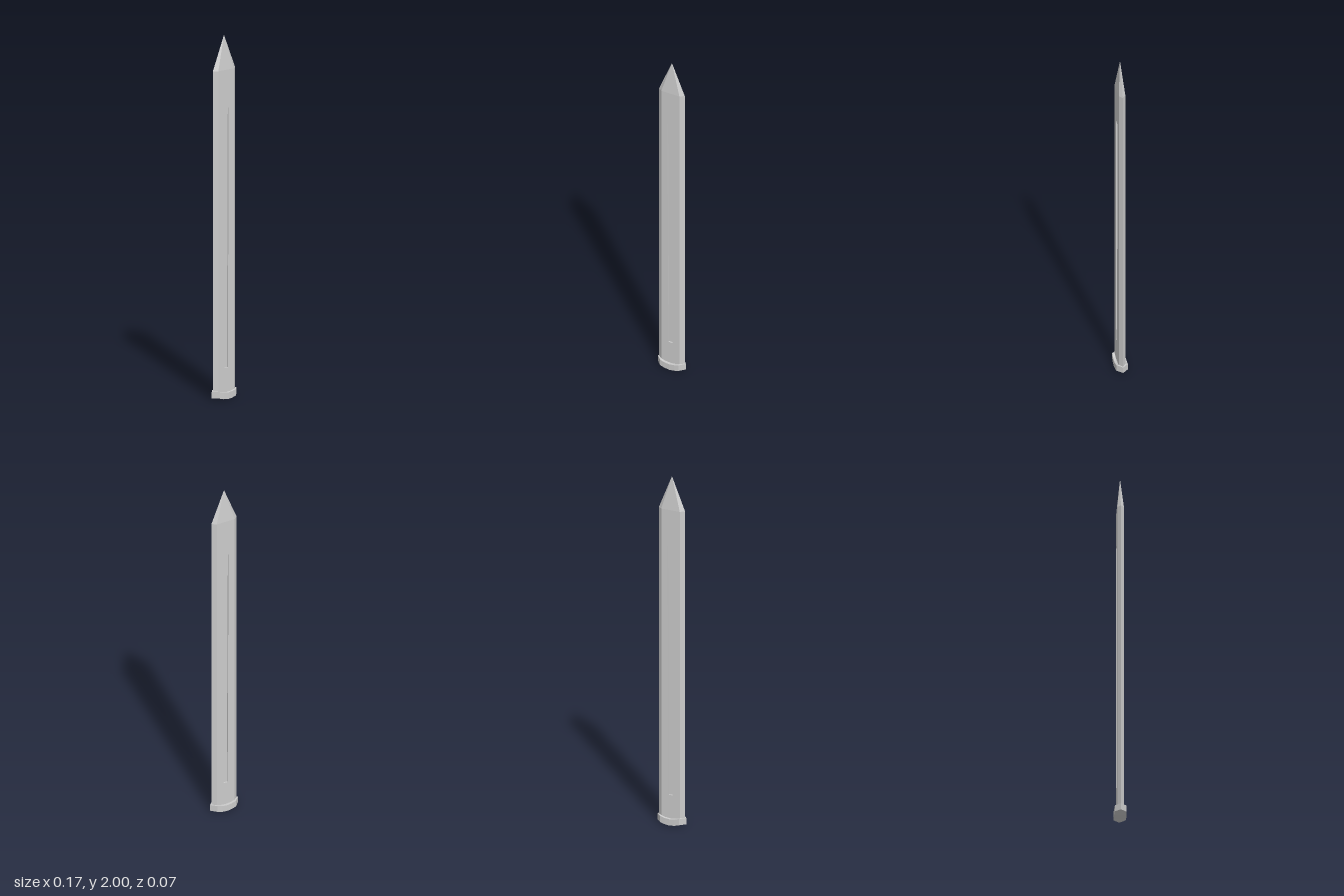
import * as THREE from 'three';

const material = new THREE.MeshStandardMaterial({ color: 0xcccccc, flatShading: true });

// Flat-shaded mesh from quads or triangles, corners listed counter-clockwise
function facetMesh(name, faces) {
  const pos = [];
  for (const f of faces) {
    for (let i = 1; i < f.length - 1; i++) pos.push(...f[0], ...f[i], ...f[i + 1]);
  }
  const geometry = new THREE.BufferGeometry();
  geometry.setAttribute('position', new THREE.Float32BufferAttribute(pos, 3));
  geometry.computeVertexNormals();
  const mesh = new THREE.Mesh(geometry, material);
  mesh.name = name;
  return mesh;
}

const EDGE = 0.078, FLAT = 0.055, THICK = 0.018;   // blade half sizes
const BOTTOM = 0.02, SHOULDER = 1.81, TIP = 2;
const FLOOR = 0.010;                               // half thickness inside the groove
const GROOVE = [[-0.012, 0.17], [0.012, 0.17], [0.018, 1.6], [-0.018, 1.6]];

// Bevelled cutting edges, point and lower end
function createBladeEdges() {
  const ring = [[EDGE, 0], [FLAT, -THICK], [-FLAT, -THICK], [-EDGE, 0], [-FLAT, THICK], [FLAT, THICK]];
  const faces = [];
  ring.forEach(([x, z], i) => {
    const [nx, nz] = ring[(i + 1) % 6];
    faces.push([[x, SHOULDER, z], [nx, SHOULDER, nz], [0, TIP, 0]]);
    if (z !== nz) faces.push([[x, BOTTOM, z], [nx, BOTTOM, nz], [nx, SHOULDER, nz], [x, SHOULDER, z]]);
  });
  faces.push(ring.map(([x, z]) => [x, BOTTOM, z]).reverse());
  return facetMesh('bladeEdges', faces);
}

// Broad face of the blade with its sunken, tapering groove
function createBladeFace(name) {
  const side = new THREE.Group();
  side.name = name;
  const shape = new THREE.Shape([[-FLAT, BOTTOM], [FLAT, BOTTOM], [FLAT, SHOULDER], [-FLAT, SHOULDER]]
    .map(p => new THREE.Vector2(...p)));
  shape.holes.push(new THREE.Path(GROOVE.map(p => new THREE.Vector2(...p))));
  const flat = new THREE.Mesh(new THREE.ShapeGeometry(shape), material);
  flat.name = 'flat';
  flat.position.z = THICK;

  const faces = [GROOVE.map(([x, y]) => [x, y, FLOOR])];
  GROOVE.forEach(([x, y], i) => {
    const [nx, ny] = GROOVE[(i + 1) % 4];
    faces.push([[x, y, THICK], [nx, ny, THICK], [nx, ny, FLOOR], [x, y, FLOOR]]);
  });
  side.add(flat, facetMesh('groove', faces));
  return side;
}

// Collar around the foot, dipping in the middle
function createCollar() {
  const half = [[0.086, 0, 0.01], [0.057, 0.031, 0.01], [0.03, 0.033, 0.003], [0, 0.034, 0]];
  const stations = [...half.map(([x, z, y]) => [-x, z, y]), ...half.slice(0, 3).reverse()];
  const section = ([x, z, y]) => [[x, y, z], [x, y + 0.036, z], [x, y + 0.036, -z], [x, y, -z]];
  const faces = [];
  for (let i = 0; i < stations.length - 1; i++) {
    const a = section(stations[i]), b = section(stations[i + 1]);
    for (let k = 0; k < 4; k++) {
      const n = (k + 1) % 4;
      faces.push([a[k], b[k], b[n], a[n]]);
    }
  }
  return facetMesh('collar', faces);
}

export function createModel() {
  const model = new THREE.Group();
  model.name = 'blade';
  const back = createBladeFace('backFace');
  back.rotation.y = Math.PI;
  model.add(createBladeEdges(), createBladeFace('frontFace'), back, createCollar());
  return model;
}
